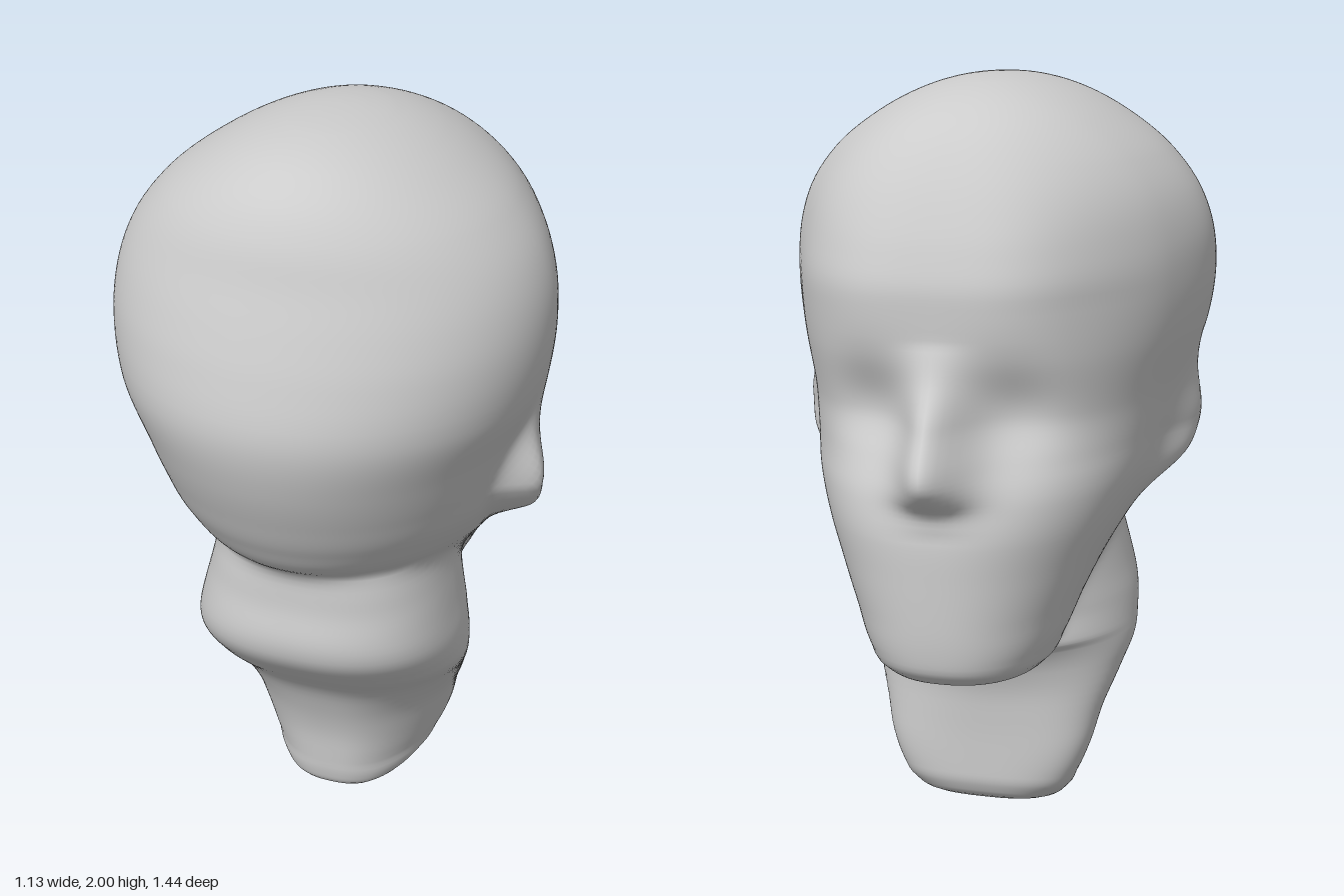
import * as THREE from 'three';

// Section rows: [y, half width, front z (face), back z, z of widest point, squareness, taper]
// Squareness and taper shape the front of the skull and the back of the neck
const SKULL = [
  [0.512, 0.08, -0.26, -0.02, -0.14, 2.3, 0],
  [0.522, 0.17, -0.49, -0.02, -0.25, 2.3, 0],
  [0.55, 0.22, -0.59, -0.01, -0.27, 2.3, 0],
  [0.6, 0.25, -0.618, 0, -0.26, 2.3, 0],
  [0.7, 0.295, -0.624, 0.1, -0.2, 2.25, 0],
  [0.8, 0.345, -0.623, 0.33, -0.12, 2.25, 0.01],
  [0.9, 0.4, -0.62, 0.52, -0.02, 2.3, 0.04],
  [1, 0.445, -0.595, 0.6, 0.06, 2.42, 0.1],
  [1.1, 0.47, -0.545, 0.65, 0.11, 2.65, 0.19],
  [1.2, 0.495, -0.51, 0.69, 0.14, 2.95, 0.28],
  [1.35, 0.545, -0.518, 0.72, 0.17, 3.3, 0.4],
  [1.5, 0.565, -0.516, 0.69, 0.17, 3.4, 0.45],
  [1.6, 0.557, -0.488, 0.655, 0.16, 3.25, 0.44],
  [1.7, 0.523, -0.44, 0.615, 0.15, 2.95, 0.37],
  [1.8, 0.45, -0.375, 0.578, 0.14, 2.6, 0.26],
  [1.9, 0.322, -0.275, 0.505, 0.13, 2.3, 0.13],
  [1.96, 0.205, -0.155, 0.4, 0.12, 2.1, 0.05],
  [1.99, 0.105, -0.035, 0.27, 0.11, 2, 0.01],
  [2, 0.01, 0.09, 0.12, 0.105, 2, 0],
];
const NECK = [
  [0, 0.12, -0.09, 0.16, 0.03, 2.4, 0.1],
  [0.015, 0.17, -0.14, 0.19, 0, 2.6, 0.2],
  [0.05, 0.215, -0.175, 0.205, -0.03, 2.8, 0.3],
  [0.1, 0.24, -0.185, 0.21, -0.05, 2.9, 0.38],
  [0.2, 0.275, -0.185, 0.22, -0.04, 3, 0.4],
  [0.3, 0.3, -0.187, 0.25, -0.01, 2.9, 0.38],
  [0.4, 0.337, -0.197, 0.3, 0.05, 2.8, 0.32],
  [0.5, 0.365, -0.24, 0.4, 0.13, 2.6, 0.2],
  [0.53, 0.364, -0.265, 0.43, 0.145, 2.5, 0.14],
  [0.6, 0.358, -0.25, 0.485, 0.16, 2.5, 0.04],
  [0.66, 0.345, -0.25, 0.498, 0.16, 2.5, 0],
  [0.75, 0.325, -0.25, 0.483, 0.15, 2.6, 0],
  [0.85, 0.3, -0.25, 0.47, 0.12, 2.7, 0],
  [1, 0.22, -0.2, 0.35, 0.1, 2.5, 0],
];
// Nose rows: [y, height above the face, half width]
const NOSE = [
  [0.93, 0, 0.09], [0.99, 0.03, 0.095], [1.03, 0.1, 0.095], [1.07, 0.155, 0.09],
  [1.11, 0.172, 0.085], [1.2, 0.135, 0.075], [1.3, 0.046, 0.07], [1.39, 0, 0.07],
];

// Smooth, non-overshooting lookup of a row at height y; the key rounds off the crown
const key = (y) => -Math.sqrt(2.0001 - y);
function lookup(rows, y) {
  const n = rows.length - 1;
  if (y <= rows[0][0]) return rows[0];
  if (y >= rows[n][0]) return rows[n];
  let i = 0;
  while (rows[i + 1][0] < y) i++;
  const step = (k) => key(rows[k + 1][0]) - key(rows[k][0]);
  const rise = (k, c) => (rows[k + 1][c] - rows[k][c]) / step(k);
  const slope = (k, c) => {
    if (k === 0) return rise(0, c);
    if (k === n) return rise(n - 1, c);
    const d0 = rise(k - 1, c), d1 = rise(k, c), h0 = step(k - 1), h1 = step(k);
    if (d0 * d1 <= 0) return 0;
    const d = (d0 * h1 + d1 * h0) / (h0 + h1);
    return Math.sign(d) * Math.min(Math.abs(d), 2.5 * Math.abs(d0), 2.5 * Math.abs(d1));
  };
  const h = step(i), t = (key(y) - key(rows[i][0])) / h;
  return rows[i].map((v, c) => v * (1 + 2 * t) * (1 - t) ** 2 + rows[i + 1][c] * t * t * (3 - 2 * t) +
    h * (slope(i, c) * t * (1 - t) ** 2 - slope(i + 1, c) * t * t * (1 - t)));
}

// Distance from (0, z0) to a section's outline in direction (dx, dz);
// the half on the shaped side (-1 front, 1 back) is squared and tapered
function reach([, w, zf, zb, zw, n, taper], shaped, plainN, z0, dx, dz) {
  let lo = 0, hi = 1.5;
  for (let k = 0; k < 24; k++) {
    const r = (lo + hi) / 2, z = z0 + r * dz - zw;
    const u = Math.abs(z) / (z < 0 ? zw - zf : zb - zw);
    const isShaped = z * shaped > 0, e = isShaped ? n : plainN;
    const squeeze = isShaped ? 1 - taper * (Math.sqrt(Math.min(u, 1) ** 2 + 0.04) - 0.2) : 1;
    if (Math.abs(r * dx / (w * squeeze)) ** e + u ** e < 1) lo = r; else hi = r;
  }
  return lo;
}

const bell = (d, w, e = 2) => Math.exp(-(Math.abs(d / w) ** e));
const { smoothstep, lerp, clamp } = THREE.MathUtils;

// Nose, eye sockets, ears, slight lean of the face and the slanted foot of the neck
function sculpt(p) {
  const { x, y, z } = p, side = Math.sign(x), ax = Math.abs(x);
  if (z < -0.1) {
    const [, height, width] = lookup(NOSE, y);
    const socket = bell(ax - 0.18, 0.11) * bell(y - 1.22, 0.12);
    p.z -= height * bell(x, width) * smoothstep(-z, 0.1, 0.4);
    p.z += 0.045 * socket * smoothstep(-z, 0.1, 0.35);
    p.x += clamp(0.07 * (y - 1.2), -0.01, 0.02) * smoothstep(-z, 0.1, 0.4);
  }
  if (ax > 0.2) {
    // Rear rim curves forward above and below the middle of the ear
    const d = z - (0.19 - 2.2 * Math.min(0, y - 1.1) ** 2 - 1.2 * Math.max(0, y - 1.1) ** 2 - 0.35 * Math.max(0, 1.08 - y));
    const ear = (y > 1.07 ? bell(y - 1.07, 0.15) : bell(y - 1.07, 0.13, 3.5)) * bell(d, d > 0 ? 0.045 : 0.13);
    p.x += side * (side > 0 ? 0.1 : 0.075) * ear;
  }
  p.x -= 0.015 * (1 - smoothstep(y, 0.4, 0.9));
  p.y += 0.14 * Math.max(0, 0.17 - z) * (1 - smoothstep(y, 0, 0.3));
}

function headGeometry() {
  // Ring heights: each span is divided evenly, tightest at foot, chin and crown
  const spans = [0, 0.015, 0.05, 0.1, 0.44, 0.5, 0.512, 0.522, 0.55, 0.62, 0.9, 1.4, 1.8, 1.94, 1.985, 1.997, 2];
  const steps = [4, 4, 4, 14, 4, 3, 6, 5, 5, 16, 36, 20, 10, 6, 5, 4];
  const heights = [];
  steps.forEach((s, i) => {
    for (let k = 0; k < s; k++) heights.push(lerp(spans[i], spans[i + 1], k / s));
  });
  heights.push(2);

  const SEG = 200, pos = [], index = [], p = new THREE.Vector3();
  const add = (x, y, z) => { p.set(x, y, z); sculpt(p); pos.push(p.x, p.y, p.z); };
  for (const y of heights) {
    const z0 = -0.1 * smoothstep(y, 0.25, 0.5) + 0.2 * smoothstep(y, 0.8, 1.3);
    const skull = lookup(SKULL, y), neck = lookup(NECK, y);
    const throat = lerp(2.8, 1.9, smoothstep(y, 0.1, 0.5));
    for (let j = 0; j < SEG; j++) {
      const a = (j / SEG) * Math.PI * 2, dx = Math.sin(a), dz = Math.cos(a);
      const rs = y < 0.512 ? 0 : reach(skull, -1, 2, z0, dx, dz);
      const rn = y > 1 ? 0 : reach(neck, 1, throat, z0, dx, dz) * (1 - smoothstep(y, 0.86, 1));
      // Soft union of skull and neck
      const r = (rs ** 18 + rn ** 18) ** (1 / 18);
      add(r * dx, y, z0 + r * dz);
    }
  }
  const rings = heights.length;
  for (let i = 0; i < rings - 1; i++) {
    for (let j = 0; j < SEG; j++) {
      const k = (j + 1) % SEG, a = i * SEG + j, b = i * SEG + k;
      index.push(a, b, b + SEG, a, b + SEG, a + SEG);
    }
  }
  // Close the foot and the crown
  const foot = rings * SEG, crown = foot + 1, last = (rings - 1) * SEG;
  add(0, 0, 0.03);
  add(0, 2, 0.105);
  for (let j = 0; j < SEG; j++) {
    const k = (j + 1) % SEG;
    index.push(foot, k, j, crown, last + j, last + k);
  }
  const g = new THREE.BufferGeometry();
  g.setAttribute('position', new THREE.Float32BufferAttribute(pos, 3));
  g.setIndex(index);
  g.computeVertexNormals();
  return g;
}

export function createModel() {
  const group = new THREE.Group();
  group.name = 'headBust';
  const head = new THREE.Mesh(headGeometry(), new THREE.MeshStandardMaterial({ color: 0xcccccc }));
  head.name = 'headAndNeck';
  group.add(head);
  return group;
}
